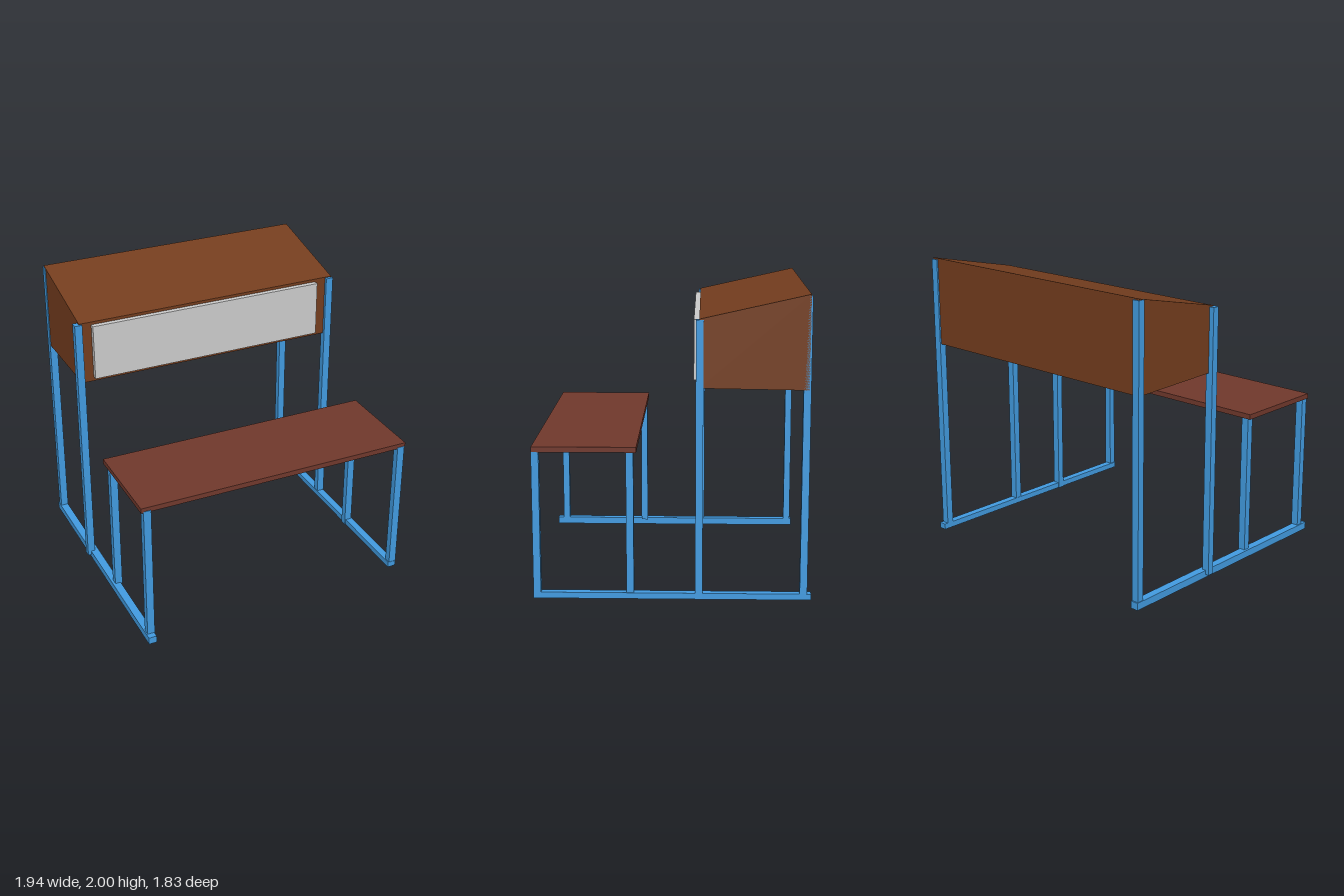
import * as THREE from 'three';

const blue = new THREE.MeshStandardMaterial({ color: 0x429be0 });
const brown = new THREE.MeshStandardMaterial({ color: 0x743d1e });
const redBrown = new THREE.MeshStandardMaterial({ color: 0x70382c });
const grey = new THREE.MeshStandardMaterial({ color: 0xcccccc });

// Box given by its lower and upper limits on each axis
function block(name, material, [x0, x1], [y0, y1], [z0, z1]) {
  const mesh = new THREE.Mesh(new THREE.BoxGeometry(x1 - x0, y1 - y0, z1 - z0), material);
  mesh.position.set((x0 + x1) / 2, (y0 + y1) / 2, (z0 + z1) / 2);
  mesh.name = name;
  return mesh;
}

export function createModel() {
  const model = new THREE.Group();
  model.name = 'deskStand';

  // Floor runners, set slightly unevenly
  model.add(
    block('rightRunner', blue, [-0.95, -0.895], [0, 0.05], [-0.9, 0.915]),
    block('leftRunner', blue, [0.9, 0.953], [0.03, 0.07], [-0.915, 0.875])
  );

  // Upright posts: name, x start, bottom, top, z start
  const posts = [
    ['rightTableFrontPost', -0.942, 0.04, 1.01, 0.825],
    ['leftTableFrontPost', 0.908, 0.035, 1.01, 0.825],
    ['rightTableBackPost', -0.933, 0.04, 1.01, 0.215],
    ['leftTableBackPost', 0.893, 0.03, 1.01, 0.225],
    ['rightCabinetFrontPost', -0.973, 0.02, 1.84, -0.225],
    ['leftCabinetFrontPost', 0.902, 0.03, 1.84, -0.217],
    ['rightCabinetBackPost', -0.945, 0.02, 1.99, -0.89],
    ['leftCabinetBackPost', 0.898, 0.04, 1.99, -0.89],
  ];
  for (const [name, x, bottom, top, z] of posts) {
    model.add(block(name, blue, [x, x + 0.052], [bottom, top], [z, z + 0.048]));
  }

  // Table board
  model.add(block('tableTop', redBrown, [-0.957, 0.968], [1.0, 1.035], [0.205, 0.87]));

  // Cabinet with sloping roof: side profile extruded across the width
  const profile = new THREE.Shape([
    new THREE.Vector2(0.19, 1.41),
    new THREE.Vector2(0.88, 1.4),
    new THREE.Vector2(0.88, 2.0),
    new THREE.Vector2(0.19, 1.845),
  ]);
  const cabinet = new THREE.Mesh(
    new THREE.ExtrudeGeometry(profile, { depth: 1.89, bevelEnabled: false }), brown);
  cabinet.rotation.y = Math.PI / 2;
  cabinet.position.x = -0.94;
  cabinet.name = 'cabinet';
  model.add(cabinet);

  // Front panel
  model.add(block('frontPanel', grey, [-0.855, 0.822], [1.44, 1.825], [-0.21, -0.155]));
  return model;
}
